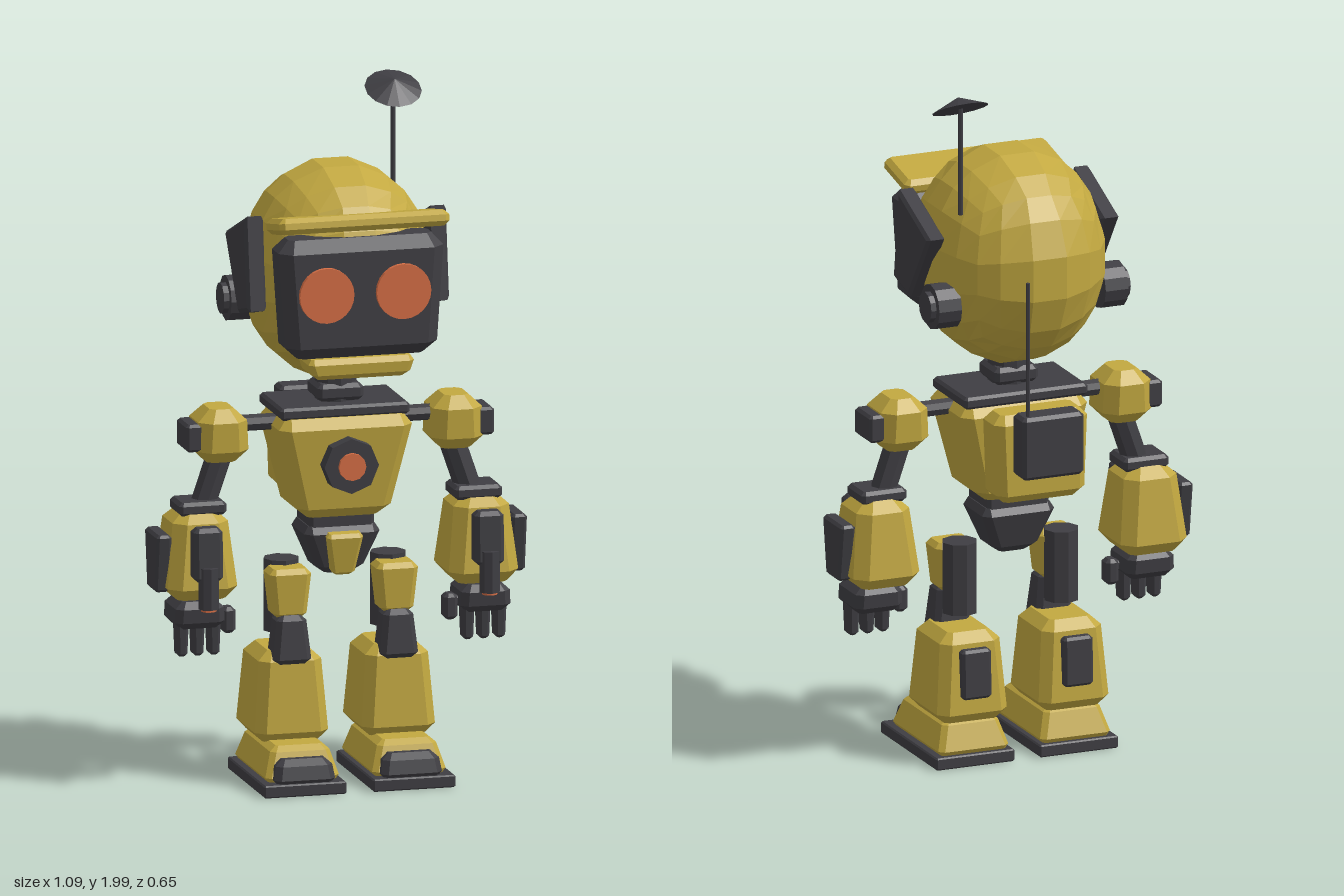
import * as THREE from 'three';
import { ConvexGeometry } from 'three/addons/geometries/ConvexGeometry.js';

const mat = (name, color) => Object.assign(new THREE.MeshStandardMaterial({ color }), { name });

export function createModel() {
  const yellow = mat('yellow paint', 0xc2a840);
  const dark = mat('dark metal', 0x3f3e43);
  const orange = mat('orange light', 0xd66e45);
  const root = new THREE.Group();
  root.name = 'robot';

  const add = (parent, name, geo, material, x = 0, y = 0, z = 0) => {
    const mesh = new THREE.Mesh(geo, material);
    mesh.name = name;
    mesh.position.set(x, y, z);
    parent.add(mesh);
    return mesh;
  };
  const flat = (geo) => {
    const g = geo.index ? geo.toNonIndexed() : geo;
    g.computeVertexNormals();
    return g;
  };
  const group = (name) => {
    const g = new THREE.Group();
    g.name = name;
    root.add(g);
    return g;
  };

  // chamfered block that may taper from bottom to top
  const block = (h, c, wB, dB, wT = wB, dT = dB) => {
    const pts = [];
    const ring = (y, t, inset) => {
      const w = THREE.MathUtils.lerp(wB, wT, t) / 2 - inset;
      const d = THREE.MathUtils.lerp(dB, dT, t) / 2 - inset;
      const k = inset ? c * 0.45 : c;
      for (const sx of [-1, 1]) for (const sz of [-1, 1]) {
        pts.push(new THREE.Vector3(sx * (w - k), y, sz * d), new THREE.Vector3(sx * w, y, sz * (d - k)));
      }
    };
    ring(-h / 2, 0, c);
    ring(-h / 2 + c, c / h, 0);
    ring(h / 2 - c, 1 - c / h, 0);
    ring(h / 2, 1, c);
    return new ConvexGeometry(pts);
  };
  const rod = (r, h, n = 8, rTop = r) => flat(new THREE.CylinderGeometry(rTop, r, h, n));
  const discZ = (r, h, n) => rod(r, h, n).rotateX(Math.PI / 2);
  const discX = (r, h, n, rOut = r) => rod(r, h, n, rOut).rotateZ(-Math.PI / 2);

  // head: a cube pushed out to a faceted ball
  const head = group('head');
  const ball = new THREE.BoxGeometry(2, 2, 2, 5, 5, 5);
  const p = ball.attributes.position;
  const v = new THREE.Vector3();
  for (let i = 0; i < p.count; i++) {
    v.fromBufferAttribute(p, i).normalize();
    p.setXYZ(i, v.x * 0.272, v.y * 0.32, v.z * 0.308);
  }
  add(head, 'skull', flat(ball), yellow, 0, 1.47, 0);
  add(head, 'facePlate', block(0.345, 0.035, 0.44, 0.15, 0.49, 0.14), dark, 0, 1.447, 0.238);
  const brow = add(head, 'brow', block(0.046, 0.014, 0.5, 0.17), yellow, 0, 1.656, 0.24);
  brow.rotation.x = -0.2;
  add(head, 'chin', block(0.06, 0.015, 0.28, 0.13, 0.32, 0.14), yellow, 0, 1.24, 0.222);

  // side plate outline, drawn in the z-y plane
  const earShape = new THREE.Shape([[0.1, 1.645], [-0.097, 1.565], [0.035, 1.375], [0.133, 1.4]]
    .map(([z, y]) => new THREE.Vector2(-z, y)));
  const earGeo = new THREE.ExtrudeGeometry(earShape, {
    depth: 0.04, bevelEnabled: true, bevelSize: 0.012, bevelThickness: 0.008, bevelSegments: 1,
  });
  earGeo.translate(0, 0, -0.02).rotateY(Math.PI / 2);
  for (const s of [-1, 1]) {
    add(head, 'eye', discZ(0.08, 0.014, 24), orange, s * 0.113, 1.465, 0.318);
    add(head, 'sidePlate', earGeo, dark, s * 0.269, 0, 0);
    add(head, 'earBase', discX(0.066, 0.07, 12), dark, s * 0.257, 1.375, -0.115);
    add(head, 'earCap', discX(0.045, 0.02, 12), dark, s * 0.298, 1.375, -0.115);
  }

  // dish aerial on top of the head
  add(head, 'aerialRod', rod(0.007, 0.32, 6), dark, 0.203, 1.8, -0.125);
  const dish = add(head, 'aerialDish', flat(new THREE.ConeGeometry(0.082, 0.035, 14)), dark, 0.203, 1.968, -0.115);
  dish.rotation.x = 0.49;

  // torso
  const torso = group('torso');
  add(torso, 'neck', rod(0.06, 0.14, 10), dark, 0, 1.14, 0);
  add(torso, 'neckCollar', block(0.05, 0.012, 0.135, 0.13), dark, 0, 1.12, 0);
  add(torso, 'neckPlate', block(0.035, 0.008, 0.38, 0.24), dark, 0, 1.075, -0.01);
  add(torso, 'chest', block(0.295, 0.03, 0.265, 0.22, 0.405, 0.28), yellow, 0, 0.913, 0);
  add(torso, 'chestRing', discZ(0.08, 0.06, 8), dark, 0, 0.93, 0.145);
  add(torso, 'chestLight', discZ(0.04, 0.02, 12), orange, 0, 0.93, 0.176);
  add(torso, 'backpack', block(0.26, 0.025, 0.27, 0.125, 0.29, 0.125), yellow, 0, 0.93, -0.188);
  add(torso, 'radioBox', block(0.185, 0.01, 0.19, 0.08), dark, 0, 0.982, -0.285);
  add(torso, 'radioAerial', rod(0.006, 0.4, 6), dark, 0.07, 1.27, -0.3);
  add(torso, 'waist', block(0.06, 0.01, 0.19, 0.15), dark, 0, 0.75, 0);
  add(torso, 'pelvis', block(0.145, 0.022, 0.125, 0.11, 0.24, 0.19), dark, 0, 0.665, 0);
  const guard = add(torso, 'pelvisGuard', block(0.125, 0.01, 0.065, 0.05, 0.11, 0.05), yellow, 0, 0.66, 0.077);
  guard.rotation.x = 0.2;

  for (const s of [-1, 1]) {
    const side = s > 0 ? 'left' : 'right';

    // arm
    const arm = group(side + 'Arm');
    add(arm, 'shoulderAxle', discX(0.024, 0.14, 8), dark, s * 0.235, 1.035, 0);
    add(arm, 'shoulder', block(0.155, 0.035, 0.155, 0.165, 0.14, 0.17), yellow, s * 0.345, 1.012, 0);
    add(arm, 'shoulderPlate', block(0.08, 0.008, 0.05, 0.115), dark, s * 0.428, 1.01, 0);
    const upper = add(arm, 'upperArm', rod(0.038, 0.2, 8), dark, s * 0.365, 0.88, 0);
    upper.rotation.z = s * 0.33;
    add(arm, 'elbowCap', block(0.04, 0.01, 0.14, 0.12), dark, s * 0.405, 0.805, 0.005);
    add(arm, 'forearm', block(0.255, 0.035, 0.212, 0.24, 0.155, 0.17), yellow, s * 0.413, 0.675, 0);
    add(arm, 'forearmSidePlate', block(0.17, 0.008, 0.045, 0.09, 0.045, 0.14), dark, s * 0.522, 0.652, 0.005);
    add(arm, 'forearmFrontPlate', block(0.155, 0.012, 0.085, 0.07, 0.085, 0.055), dark, s * 0.413, 0.69, 0.125);
    add(arm, 'barrel', rod(0.03, 0.12, 8), dark, s * 0.413, 0.595, 0.146);
    add(arm, 'barrelLight', rod(0.022, 0.008, 10), orange, s * 0.413, 0.532, 0.146);
    add(arm, 'wrist', rod(0.05, 0.06, 8), dark, s * 0.42, 0.545, 0.015);
    add(arm, 'palm', block(0.08, 0.02, 0.15, 0.15, 0.14, 0.16), dark, s * 0.42, 0.502, 0.018);
    for (const k of [-1, 0, 1]) {
      add(arm, 'finger', block(0.1, 0.008, 0.03, 0.045, 0.036, 0.055), dark, s * (0.42 + k * 0.047), 0.43, 0.045);
    }
    add(arm, 'thumb', block(0.075, 0.01, 0.04, 0.05), dark, s * 0.326, 0.475, 0.03);
    add(arm, 'thumbJoint', block(0.03, 0.006, 0.05, 0.035), dark, s * 0.348, 0.49, 0.03);

    // leg
    const leg = group(side + 'Leg');
    const x = s * 0.157;
    add(leg, 'thigh', rod(0.052, 0.21, 8), dark, x, 0.53, -0.012);
    add(leg, 'thighGuard', block(0.145, 0.015, 0.095, 0.085, 0.125, 0.1), yellow, x, 0.55, 0.055);
    add(leg, 'knee', block(0.14, 0.015, 0.115, 0.1, 0.085, 0.075), dark, x, 0.42, 0.075);
    add(leg, 'shin', block(0.26, 0.028, 0.22, 0.26, 0.18, 0.215), yellow, x, 0.256, 0);
    const calf = add(leg, 'calfPlate', block(0.145, 0.008, 0.09, 0.04), dark, x, 0.272, -0.122);
    calf.rotation.x = 0.03;
    add(leg, 'foot', block(0.1, 0.015, 0.225, 0.365, 0.165, 0.29), yellow, x, 0.083, 0.052);
    add(leg, 'toeCap', block(0.075, 0.018, 0.185, 0.12, 0.16, 0.085), dark, x, 0.065, 0.205);
    add(leg, 'sole', block(0.036, 0.004, 0.242, 0.4), dark, x + s * 0.003, 0.018, 0.065);
  }
  return root;
}
